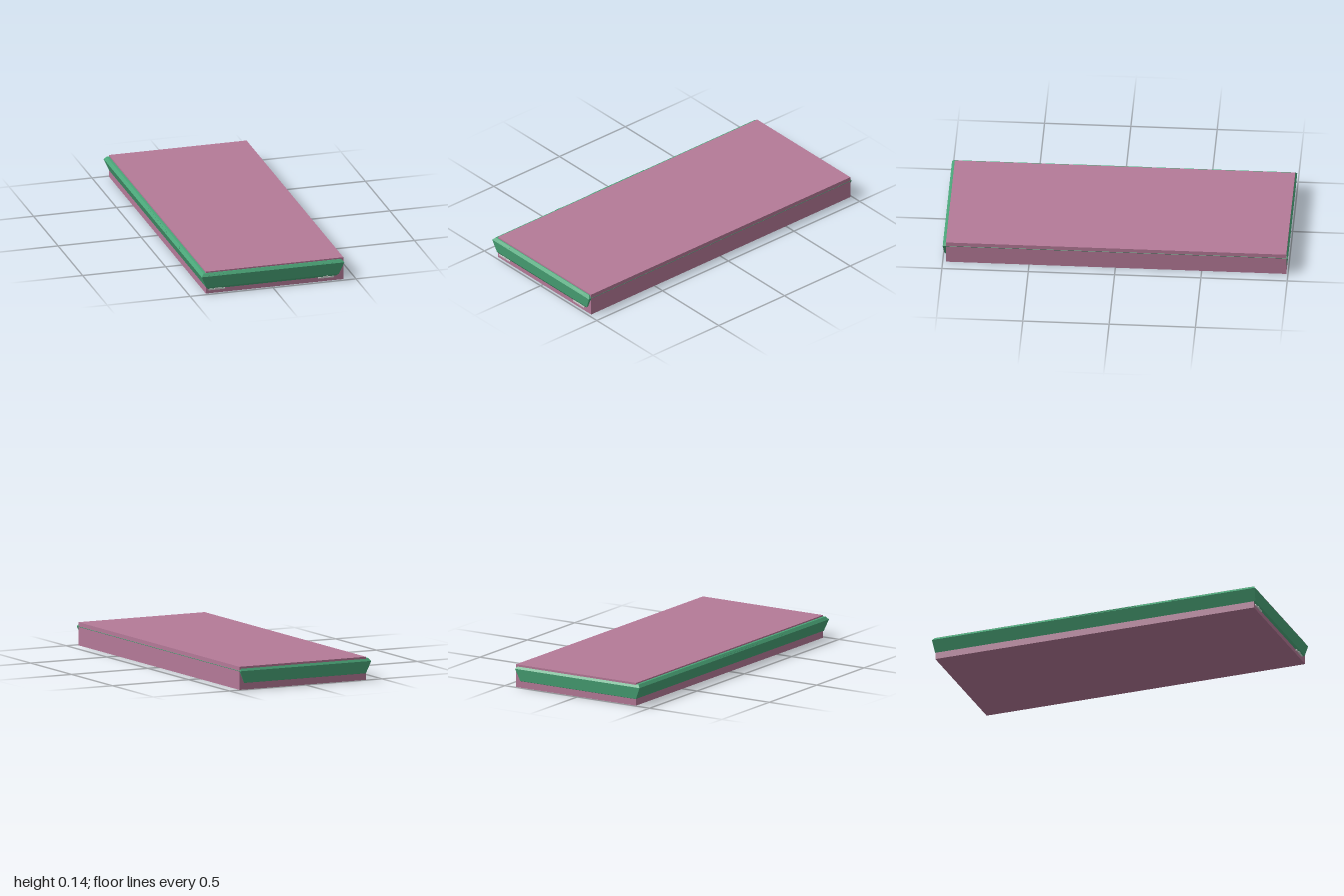
import * as THREE from 'three';
import { ConvexGeometry } from 'three/addons/geometries/ConvexGeometry.js';

export function createModel() {
  const model = new THREE.Group();
  const pink = new THREE.MeshStandardMaterial({ color: 0xb57a98 });
  const green = new THREE.MeshStandardMaterial({ color: 0x4aa578 });
  const grey = new THREE.MeshStandardMaterial({ color: 0xcccccc });

  const add = (name, geometry, material, parent = model) => {
    const mesh = new THREE.Mesh(geometry, material);
    mesh.name = name;
    parent.add(mesh);
    return mesh;
  };
  // Box given by its lower and upper limits
  const block = (name, material, [x0, x1], [y0, y1], [z0, z1], parent) => {
    const mesh = add(name, new THREE.BoxGeometry(x1 - x0, y1 - y0, z1 - z0), material, parent);
    mesh.position.set((x0 + x1) / 2, (y0 + y1) / 2, (z0 + z1) / 2);
    return mesh;
  };

  // Main slab
  block('slab', pink, [-0.4, 0.429], [0, 0.135], [-0.99, 0.982]);

  // Bevelled tray that shows as trim around the slab: [height, half width, half length]
  const levels = [[0.025, 0.383, 0.981], [0.04, 0.4, 0.991], [0.11, 0.43, 1], [0.127, 0.415, 0.987]];
  const corners = [];
  for (const [y, x, z] of levels)
    for (const sx of [-1, 1])
      for (const sz of [-1, 1]) corners.push(new THREE.Vector3(sx * x, y, sz * z));
  add('trim', new ConvexGeometry(corners), green);

  // Slim tabs on the upper bevel of the side trim
  for (const [z0, z1] of [[-0.15, 0.26], [0.48, 0.53]]) {
    const tab = block('sideTab', green, [-0.427, -0.419], [0.118, 0.121], [z0, z1]);
    tab.rotation.z = 0.85;
  }

  // Front tabs and the stepped clips below them
  for (const [x0, x1] of [[-0.385, -0.285], [0.275, 0.37]]) {
    const tab = block('frontTab', green, [x0, x1], [0.117, 0.12], [0.988, 0.996]);
    tab.rotation.x = 0.85;
    const clip = new THREE.Group();
    clip.name = 'clip';
    model.add(clip);
    const mid = (x0 + x1) / 2;
    block('clipPlate', grey, [x0, x1], [0.02, 0.028], [0.97, 0.988], clip);
    block('clipCatch', grey, [mid - 0.011, mid + 0.011], [0.027, 0.033], [0.97, 0.989], clip);
  }
  return model;
}
